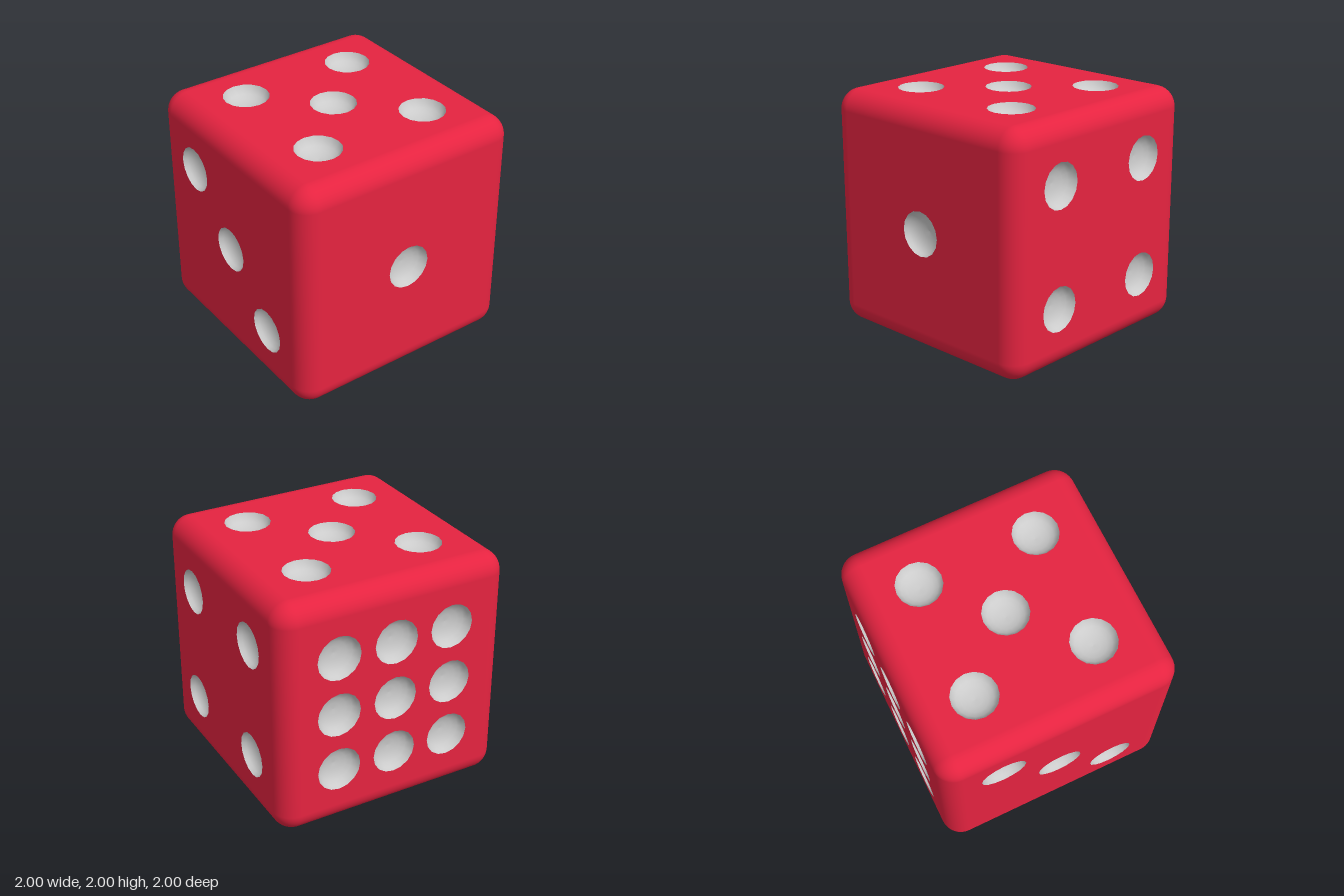
import * as THREE from 'three';
import { mergeGeometries } from 'three/addons/utils/BufferGeometryUtils.js';

const HALF = 1, ROUND = 0.17, CORE = HALF - ROUND;
const PIP_R = 0.187, PIP_SIDES = 16, GAP = 0.495;
const Q = Math.PI / 2;

// Pip layouts in face units (column, row)
const corners = [[-1, 1], [1, 1], [-1, -1], [1, -1]];
const grid = [-1, 0, 1].flatMap(u => [-1, 0, 1].map(v => [u, v]));
const faces = [
  { name: 'front', turn: [0, 0], pips: [[-1, 1], [0, 0], [1, -1]] },
  { name: 'right', turn: [0, Q], pips: [[0, 0]] },
  { name: 'back', turn: [0, 2 * Q], pips: corners },
  { name: 'left', turn: [0, -Q], pips: grid },
  { name: 'top', turn: [-Q, 0], pips: [...corners, [0, 0]] },
  { name: 'bottom', turn: [Q, 0], pips: [[-1, 0], [1, 0]] },
];

// Flat square panel with a round hole for every pip
function panelGeometry(pips) {
  const shape = new THREE.Shape([[-1, -1], [1, -1], [1, 1], [-1, 1]]
    .map(([x, y]) => new THREE.Vector2(x * CORE, y * CORE)));
  for (const [u, v] of pips) {
    const ring = [];
    for (let i = 0; i < PIP_SIDES; i++) {
      const a = -i / PIP_SIDES * Math.PI * 2;
      ring.push(new THREE.Vector2(u * GAP + PIP_R * Math.cos(a), v * GAP + PIP_R * Math.sin(a)));
    }
    shape.holes.push(new THREE.Path(ring));
  }
  return new THREE.ShapeGeometry(shape).translate(0, 0, HALF);
}

// Shallow bowl, rim to centre, opening towards +z
function bowlGeometry() {
  const profile = [[PIP_R, 0], [0.172, -0.035], [0.145, -0.063], [0.105, -0.084], [0.055, -0.096], [0, -0.1]]
    .map(([x, y]) => new THREE.Vector2(x, y));
  return new THREE.LatheGeometry(profile, PIP_SIDES).rotateX(Q);
}

// Twelve quarter-round edges and eight ball corners
function roundingGeometry() {
  const parts = [];
  for (let i = 0; i < 4; i++) {
    const edge = new THREE.CylinderGeometry(ROUND, ROUND, 2 * CORE, 10, 1, true, 0, Q)
      .translate(CORE, 0, CORE).rotateY(i * Q);
    parts.push(edge, edge.clone().rotateX(Q), edge.clone().rotateZ(Q));
    const corner = new THREE.SphereGeometry(ROUND, 10, 10, Q, Q, 0, Q)
      .translate(CORE, CORE, CORE).rotateY(i * Q);
    parts.push(corner, corner.clone().rotateX(2 * Q));
  }
  return mergeGeometries(parts);
}

export function createModel() {
  const red = new THREE.MeshStandardMaterial({ color: 0xe52340 });
  const grey = new THREE.MeshStandardMaterial({ color: 0xcccccc });
  const model = new THREE.Group();
  model.name = 'die';

  const cube = new THREE.Group();
  cube.name = 'cube';
  cube.position.y = HALF;
  model.add(cube);

  const rounding = new THREE.Mesh(roundingGeometry(), red);
  rounding.name = 'roundedEdges';
  cube.add(rounding);

  const bowl = bowlGeometry();
  for (const { name, turn, pips } of faces) {
    const face = new THREE.Group();
    face.name = name + 'Face';
    face.rotation.set(turn[0], turn[1], 0);
    const panel = new THREE.Mesh(panelGeometry(pips), red);
    panel.name = name + 'Panel';
    face.add(panel);
    for (const [u, v] of pips) {
      const pip = new THREE.Mesh(bowl, grey);
      pip.name = name + 'Pip';
      pip.position.set(u * GAP, v * GAP, HALF);
      face.add(pip);
    }
    cube.add(face);
  }
  return model;
}
